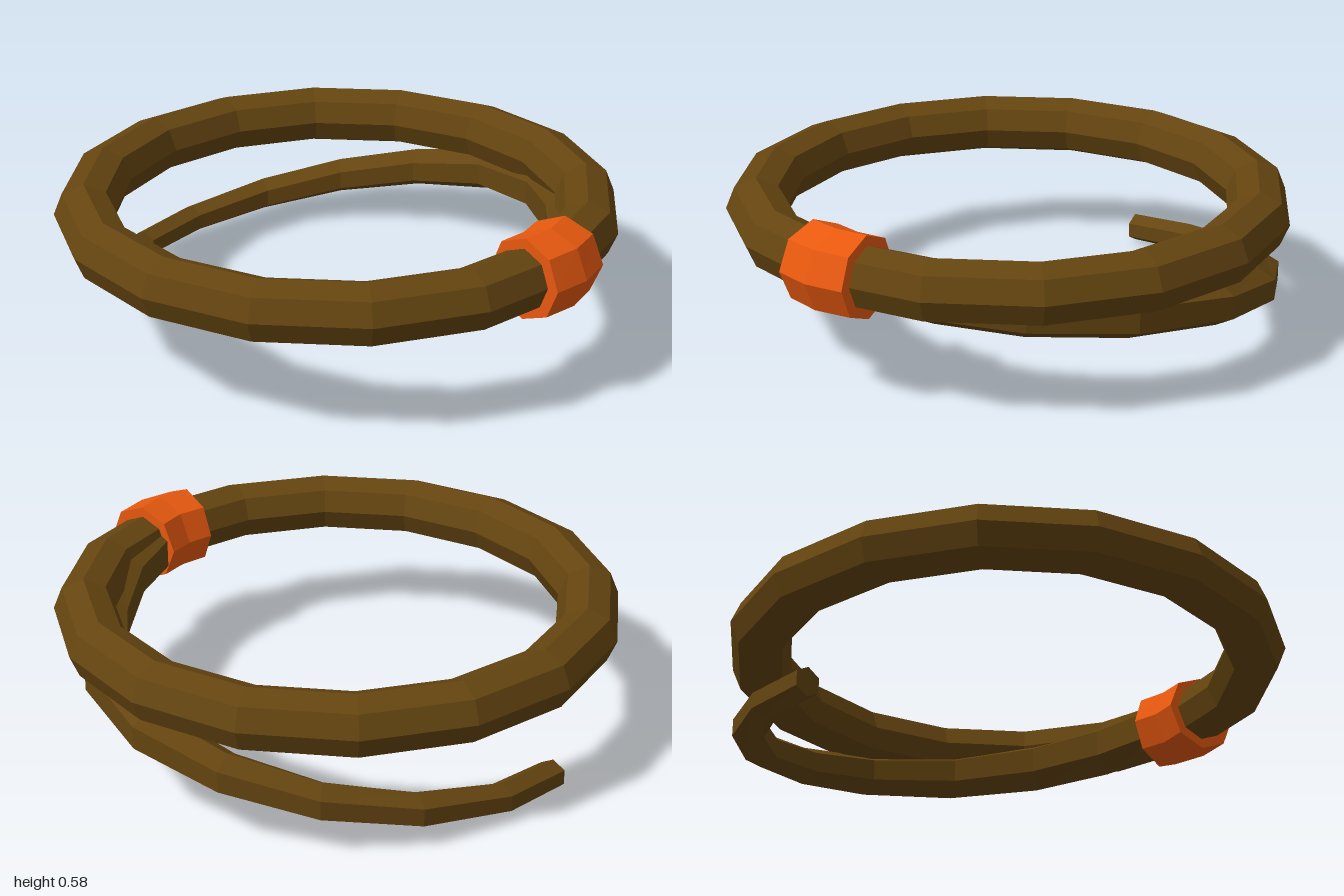
import * as THREE from 'three';

const RING_Y = 0.437, RING_R = 0.874, RING_Z = -0.02;

// Sweeps a polygon round the y axis. Each section is [degrees from front towards +x, radius of path, height, thickness].
function sweep(sections, sides, phase) {
  const rings = sections.map(([deg, R, y, r]) => {
    const t = THREE.MathUtils.degToRad(deg);
    const at = (d, h) => [Math.sin(t) * (R + d), y + h, Math.cos(t) * (R + d)];
    const points = [];
    for (let j = 0; j < sides; j++) {
      const a = phase + (j / sides) * Math.PI * 2;
      points.push(at(r * Math.cos(a), -r * Math.sin(a)));
    }
    return { points, centre: at(0, 0) };
  });
  const pos = [];
  const tri = (...corners) => corners.forEach((c) => pos.push(...c));
  const first = rings[0], last = rings[rings.length - 1];
  for (let j = 0; j < sides; j++) {
    const k = (j + 1) % sides;
    for (let i = 0; i < rings.length - 1; i++) {
      const a = rings[i].points, b = rings[i + 1].points;
      tri(a[j], a[k], b[j]);
      tri(a[k], b[k], b[j]);
    }
    tri(first.centre, first.points[k], first.points[j]);
    tri(last.centre, last.points[j], last.points[k]);
  }
  const geo = new THREE.BufferGeometry();
  geo.setAttribute('position', new THREE.Float32BufferAttribute(pos, 3));
  geo.computeVertexNormals();
  return geo;
}

export function createModel() {
  const group = new THREE.Group();
  group.name = 'coiledBand';
  const brown = new THREE.MeshStandardMaterial({ color: 0x654510, flatShading: true });
  const orange = new THREE.MeshStandardMaterial({ color: 0xe8590f, flatShading: true });

  const add = (name, geo, mat) => {
    const mesh = new THREE.Mesh(geo, mat);
    mesh.name = name;
    mesh.position.z = RING_Z;
    group.add(mesh);
    return mesh;
  };

  // closed loop
  const loop = new THREE.TorusGeometry(RING_R, 0.106, 8, 16);
  loop.rotateX(Math.PI / 2);
  add('loop', loop, brown).position.y = RING_Y;

  // collar wrapped round the loop at the front, bent with it
  add('collar', sweep([
    [-7.7, 0.862, RING_Y, 0.142],
    [0, RING_R, RING_Y, 0.144],
    [7.7, 0.862, RING_Y, 0.142],
  ], 8, 0), orange);

  // loose end, leaving the collar and tapering as it drops to the back
  add('looseEnd', sweep([
    [0, 0.86, 0.435, 0.1],
    [22, 0.825, 0.4, 0.098],
    [42, 0.812, 0.36, 0.094],
    [65, 0.845, 0.325, 0.086],
    [88, 0.885, 0.285, 0.079],
    [108, 0.89, 0.23, 0.073],
    [128, 0.89, 0.17, 0.067],
    [148, 0.885, 0.115, 0.062],
    [168, 0.885, 0.074, 0.055],
    [185, 0.882, 0.053, 0.052],
  ], 6, Math.PI / 6), brown);

  return group;
}
